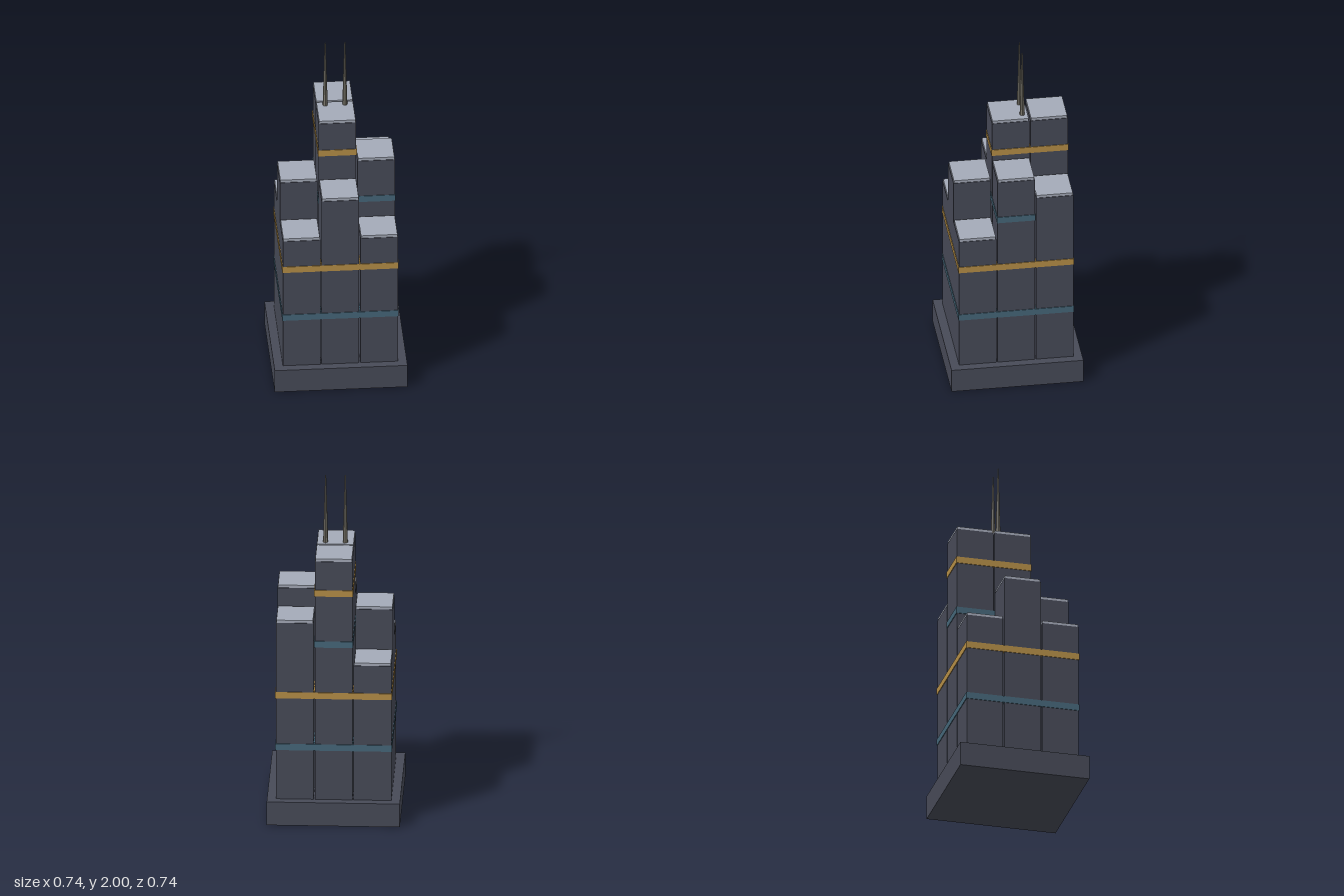
import * as THREE from 'three';

export function createModel() {
  const model = new THREE.Group();
  const mat = (name, color, flatShading = false) => {
    const m = new THREE.MeshStandardMaterial({ color, flatShading });
    m.name = name;
    return m;
  };
  const wall = mat('dark slate', 0x474a57);
  const roof = mat('pale grey', 0xa4aab8);
  const gold = mat('gold', 0xb58e46);
  const blue = mat('steel blue', 0x456679);
  const metal = mat('warm grey metal', 0x7d796e, true);

  // Box standing on height y
  const box = (parent, name, material, w, h, x, y, z) => {
    const mesh = new THREE.Mesh(new THREE.BoxGeometry(w, h, w), material);
    mesh.name = name;
    mesh.position.set(x, y + h / 2, z);
    parent.add(mesh);
  };

  const BASE = 0.14, PITCH = 0.2175, WIDTH = 0.21;
  box(model, 'plinth', wall, 0.744, BASE, 0, 0, 0);

  // Wall-top heights: rows from back to front, columns from -x to +x
  const heights = [
    [0.952, 1.579, 1.204],
    [1.204, 1.579, 1.326],
    [0.952, 1.204, 0.952],
  ];
  const bands = [[0.455, blue], [0.768, gold], [1.079, blue], [1.388, gold]];

  heights.forEach((row, r) => row.forEach((top, c) => {
    const tower = new THREE.Group();
    tower.name = `tower${r + 1}${c + 1}`;
    tower.position.set((c - 1) * PITCH, 0, (r - 1) * PITCH);
    box(tower, 'shaft', wall, WIDTH, top - BASE, 0, BASE, 0);
    box(tower, 'roofCap', roof, 0.204, 0.016, 0, top, 0);
    // Bands wrap every tower that rises well above them
    for (const [y, material] of bands) {
      if (top > y + 0.15) box(tower, 'band', material, 0.217, 0.038, 0, y - 0.019, 0);
    }
    model.add(tower);
  }));

  // Twin tapered masts
  for (const x of [-0.055, 0.055]) {
    const mast = new THREE.Mesh(new THREE.CylinderGeometry(0.003, 0.0145, 0.415, 8), metal);
    mast.name = 'mast';
    mast.position.set(x, 1.7925, -0.072);
    model.add(mast);
  }
  return model;
}
